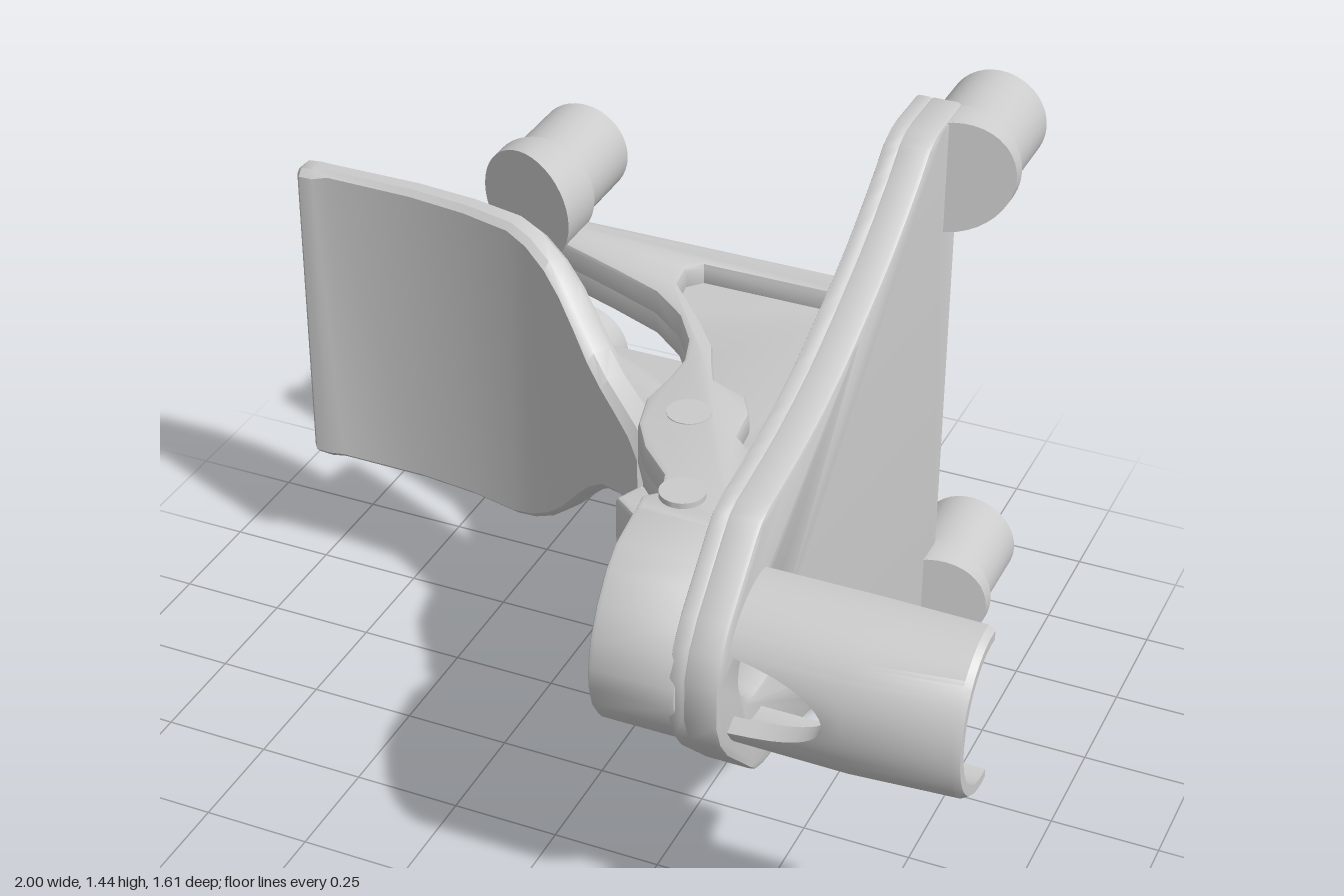
import * as THREE from 'three';
import { toCreasedNormals } from 'three/addons/utils/BufferGeometryUtils.js';

const MID = 0.72; // height of the mirror plane
const material = new THREE.MeshStandardMaterial({ color: 0xcccccc, side: THREE.DoubleSide });
const v2 = (pts) => pts.map(([a, b]) => new THREE.Vector2(a, b));

function add(group, name, geometry, crease = 0.6) {
  const mesh = new THREE.Mesh(toCreasedNormals(geometry, crease), material);
  mesh.name = name;
  group.add(mesh);
  return mesh;
}

function extrude(shape, thickness, bevel = 0.012) {
  return new THREE.ExtrudeGeometry(shape, {
    depth: thickness - 2 * bevel, bevelEnabled: bevel > 0, bevelSize: bevel,
    bevelThickness: bevel, bevelOffset: -bevel, bevelSegments: 2, curveSegments: 24,
  }).translate(0, 0, bevel);
}
// outline in (z, y), spanning x0..x1
const alongX = (shape, x0, x1, bevel) => extrude(shape, x1 - x0, bevel).rotateY(-Math.PI / 2).translate(x1, 0, 0);
// outline in (x, z), spanning y0..y1
const alongY = (shape, y0, y1, bevel) => extrude(shape, y1 - y0, bevel).rotateX(Math.PI / 2).translate(0, y1, 0);
const rod = (r, y0, y1, x, z) => new THREE.CylinderGeometry(r, r, y1 - y0, 32).translate(x, (y0 + y1) / 2, z);

// half outline (z, height above the mirror plane) completed by its mirror image
const mirrored = (half) => v2([
  ...half.map(([z, h]) => [z, MID + h]),
  ...half.slice().reverse().map(([z, h]) => [z, MID - h]),
]);

// solid through a row of equal closed loops, capped at both ends
function loft(rings) {
  const tris = [], n = rings[0].length;
  for (let i = 0; i + 1 < rings.length; i++) {
    for (let j = 0; j < n; j++) {
      const k = (j + 1) % n, [a, b] = [rings[i], rings[i + 1]];
      tris.push([a[j], a[k], b[k]], [a[j], b[k], b[j]]);
    }
  }
  const end = rings[rings.length - 1];
  for (let j = 1; j + 1 < n; j++) {
    tris.push([rings[0][0], rings[0][j + 1], rings[0][j]], [end[0], end[j], end[j + 1]]);
  }
  let volume = 0;
  for (const [a, b, c] of tris) volume += a.dot(b.clone().cross(c));
  const points = tris.flatMap(([a, b, c]) => (volume < 0 ? [a, c, b] : [a, b, c]));
  return new THREE.BufferGeometry().setFromPoints(points);
}

function buildPlate(group) {
  const sweep = new THREE.SplineCurve(v2([[-0.36, 0.7], [-0.29, 0.645], [-0.15, 0.555], [0, 0.48],
    [0.15, 0.415], [0.3, 0.37], [0.42, 0.345], [0.53, 0.328]])).getPoints(28).map((p) => [p.x, p.y]);
  const half = [[-0.565, 0.72], [-0.44, 0.72], [-0.4, 0.715], ...sweep, [0.57, 0.315], [0.6, 0.29],
    [0.73, 0.165], [0.77, 0.11], [0.793, 0.05]];
  // pill-shaped opening through the nose
  const slot = new THREE.Path();
  slot.absarc(0.575, MID, 0.1, -Math.PI / 2, Math.PI / 2);
  slot.absarc(0.505, MID, 0.1, Math.PI / 2, Math.PI * 1.5);
  slot.closePath();
  const outer = new THREE.Shape(mirrored(half));
  outer.holes.push(slot);
  add(group, 'sidePlate', alongX(outer, 0.43, 0.51));
  // shallow recesses on the inner face, framed by a rim
  const rim = new THREE.Shape(mirrored(half));
  rim.holes.push(slot);
  const recess = [[-0.5, 0.66], [-0.4, 0.65], [-0.3, 0.585], [-0.15, 0.49], [0, 0.42],
    [0.2, 0.345], [0.45, 0.29], [0.45, 0.24], [-0.5, 0.24]];
  for (const s of [1, -1]) rim.holes.push(new THREE.Path(v2(recess.map(([z, h]) => [z, MID + s * h]))));
  add(group, 'plateRim', alongX(rim, 0.4, 0.44, 0.008));
}

function buildNose(group) {
  // hollow nose housing in front of the ribs
  const outer = [[0.45, 0.22], [0.62, 0.215], [0.68, 0.19], [0.74, 0.14], [0.78, 0.085], [0.8, 0.025]];
  const inner = [[0.45, 0.105], [0.58, 0.105], [0.64, 0.085], [0.67, 0.045], [0.68, 0.01]];
  const shape = new THREE.Shape([...mirrored(outer), ...mirrored(inner).reverse()]);
  const housing = alongX(shape, 0.19, 0.42);
  const p = housing.attributes.position;
  for (let i = 0; i < p.count; i++) {
    if (p.getX(i) < 0.3) p.setX(i, p.getX(i) + (p.getZ(i) - 0.45) * 0.1);
  }
  add(group, 'noseHousing', housing);

  // open half tube with a teardrop window beside the plate
  const rings = [];
  for (let i = 0; i <= 64; i++) {
    const a = THREE.MathUtils.degToRad(-97 + (194 * i) / 64);
    const t = (Math.sin(a) * 0.19) / 0.092;
    const open = Math.abs(t) < 1 && Math.cos(a) > 0;
    const x0 = open ? 0.51 + 0.21 * Math.pow(1 - t * t, 0.6) : 0.5;
    const at = (x, r, rz) => new THREE.Vector3(x, MID + 0.003 + r * Math.sin(a), 0.575 + rz * Math.cos(a));
    rings.push([at(x0, 0.195, 0.19), at(0.76, 0.195, 0.195), at(0.985, 0.194, 0.168), at(1, 0.185, 0.158),
      at(1, 0.163, 0.138), at(0.76, 0.158, 0.15), at(x0, 0.158, 0.15)]);
  }
  add(group, 'halfTube', loft(rings), 0.5);
}

function buildRibs(group) {
  const outline = v2([[-0.655, -0.565], [0.42, -0.565], [0.42, 0.5], [0.2, 0.5], [0.19, 0.45], [0.22, 0.42],
    [0.2, 0.36], [0.12, 0.28], [0.07, 0.2], [0.045, 0.1], [0.055, 0], [0.055, -0.08], [0.03, -0.16],
    [-0.03, -0.25], [-0.12, -0.325], [-0.25, -0.38], [-0.64, -0.53]]);
  const pocket = v2([[-0.07, -0.485], [0.39, -0.485], [0.39, 0.2], [0.33, 0.2], [0.285, 0.16], [0.275, 0.07],
    [0.24, 0.01], [0.15, -0.03], [0.12, -0.09], [0.09, -0.16], [0.03, -0.24], [-0.09, -0.38], [-0.1, -0.45]]);
  for (const s of [1, -1]) {
    const rib = new THREE.Group();
    rib.name = s > 0 ? 'upperRib' : 'lowerRib';
    const span = (shape, h0, h1, bevel) => (s > 0
      ? alongY(shape, MID + h0, MID + h1, bevel) : alongY(shape, MID - h1, MID - h0, bevel));
    add(rib, 'ribFloor', span(new THREE.Shape(outline), 0.108, 0.17, 0.008));
    const rim = new THREE.Shape(outline);
    rim.holes.push(new THREE.Path(pocket));
    add(rib, 'ribRim', span(rim, 0.15, 0.222));
    group.add(rib);
  }
  // hinge pins
  add(group, 'leverPin', rod(0.05, MID - 0.224, MID + 0.224, 0.155, 0.12));
  add(group, 'linkPin', rod(0.05, MID - 0.235, MID + 0.235, 0.27, 0.42));
}

function buildBosses(group) {
  const profile = v2([[0.065, 0], [0.118, 0], [0.118, 0.235], [0.108, 0.247], [0.075, 0.247], [0.065, 0.237], [0.065, 0]]);
  for (const s of [1, -1]) {
    for (const [x, h, side] of [[0.518, 0.58, 1], [-0.523, 0.28, -1]]) {
      const boss = new THREE.Group();
      boss.name = 'mountingBoss';
      add(boss, 'bossTube', new THREE.LatheGeometry(profile, 40).rotateX(-Math.PI / 2).translate(0, 0, -0.56));
      // lug whose front slopes into the body
      const lug = new THREE.CylinderGeometry(0.136, 0.136, 0.1, 40).rotateX(Math.PI / 2);
      const p = lug.attributes.position;
      for (let i = 0; i < p.count; i++) {
        const inward = 0.136 - side * p.getX(i);
        p.setZ(i, p.getZ(i) > 0 ? -0.53 + inward * 0.4 : -0.565);
      }
      add(boss, 'bossLug', lug);
      boss.position.set(x, MID + s * h, 0);
      group.add(boss);
    }
  }
}

function buildLever(group) {
  // each station: x, z, half height, half thickness
  const stations = [[-1, -0.257, 0.385, 0.02], [-0.988, -0.257, 0.395, 0.036], [-0.955, -0.258, 0.397, 0.038],
    [-0.92, -0.262, 0.397, 0.028], [-0.7, -0.261, 0.397, 0.03], [-0.55, -0.245, 0.397, 0.032],
    [-0.42, -0.215, 0.397, 0.034], [-0.36, -0.195, 0.38, 0.035], [-0.3, -0.17, 0.345, 0.036],
    [-0.25, -0.146, 0.3, 0.037], [-0.2, -0.12, 0.24, 0.038], [-0.15, -0.09, 0.185, 0.04],
    [-0.1, -0.057, 0.145, 0.04], [-0.04, -0.012, 0.12, 0.042], [0.02, 0.04, 0.105, 0.045], [0.08, 0.11, 0.1, 0.05]];
  const rings = stations.map(([x, z, h, t], i) => {
    const a = stations[Math.max(i - 1, 0)], b = stations[Math.min(i + 1, stations.length - 1)];
    const dir = new THREE.Vector2(b[0] - a[0], b[1] - a[1]).normalize();
    const c = 0.45 * t;
    return [[h, t - c], [h - c, t], [c - h, t], [-h, t - c], [-h, c - t], [c - h, -t], [h - c, -t], [h, c - t]]
      .map(([y, n]) => new THREE.Vector3(i ? x - dir.y * n : x, MID + y, z + dir.x * n));
  });
  add(group, 'leverPaddle', loft(rings), 0.7);
  const fin = new THREE.Shape(v2([[-0.56, -0.26], [-0.525, -0.4], [-0.48, -0.385], [-0.3, -0.305], [-0.1, -0.215],
    [0.04, -0.12], [0.12, 0.03], [0.08, 0.1], [0, 0.02], [-0.2, -0.12], [-0.4, -0.22]]));
  add(group, 'leverFin', alongY(fin, MID - 0.085, MID + 0.085));
  add(group, 'leverHub', rod(0.1, MID - 0.102, MID + 0.102, 0.155, 0.12));

  // link swinging on the front pin, with three rounded bars facing the slot
  const link = new THREE.Shape(v2([[0.1, 0.245], [0.07, 0.315], [0.2, 0.415], [0.25, 0.475], [0.3, 0.47],
    [0.33, 0.43], [0.32, 0.39]]));
  add(group, 'link', alongY(link, MID - 0.1, MID + 0.1));
  for (const h of [-0.06, 0, 0.06]) {
    const bar = new THREE.CylinderGeometry(0.03, 0.03, 0.23, 20).rotateZ(Math.PI / 2).scale(1, 1, 2.4);
    add(group, 'linkBar', bar.translate(0.325, MID + h, 0.505));
  }
}

export function createModel() {
  const model = new THREE.Group();
  model.name = 'bracketWithLever';
  for (const [name, build] of Object.entries({
    plate: buildPlate, nose: buildNose, ribs: buildRibs, bosses: buildBosses, lever: buildLever,
  })) {
    const part = new THREE.Group();
    part.name = name;
    build(part);
    model.add(part);
  }
  return model;
}
